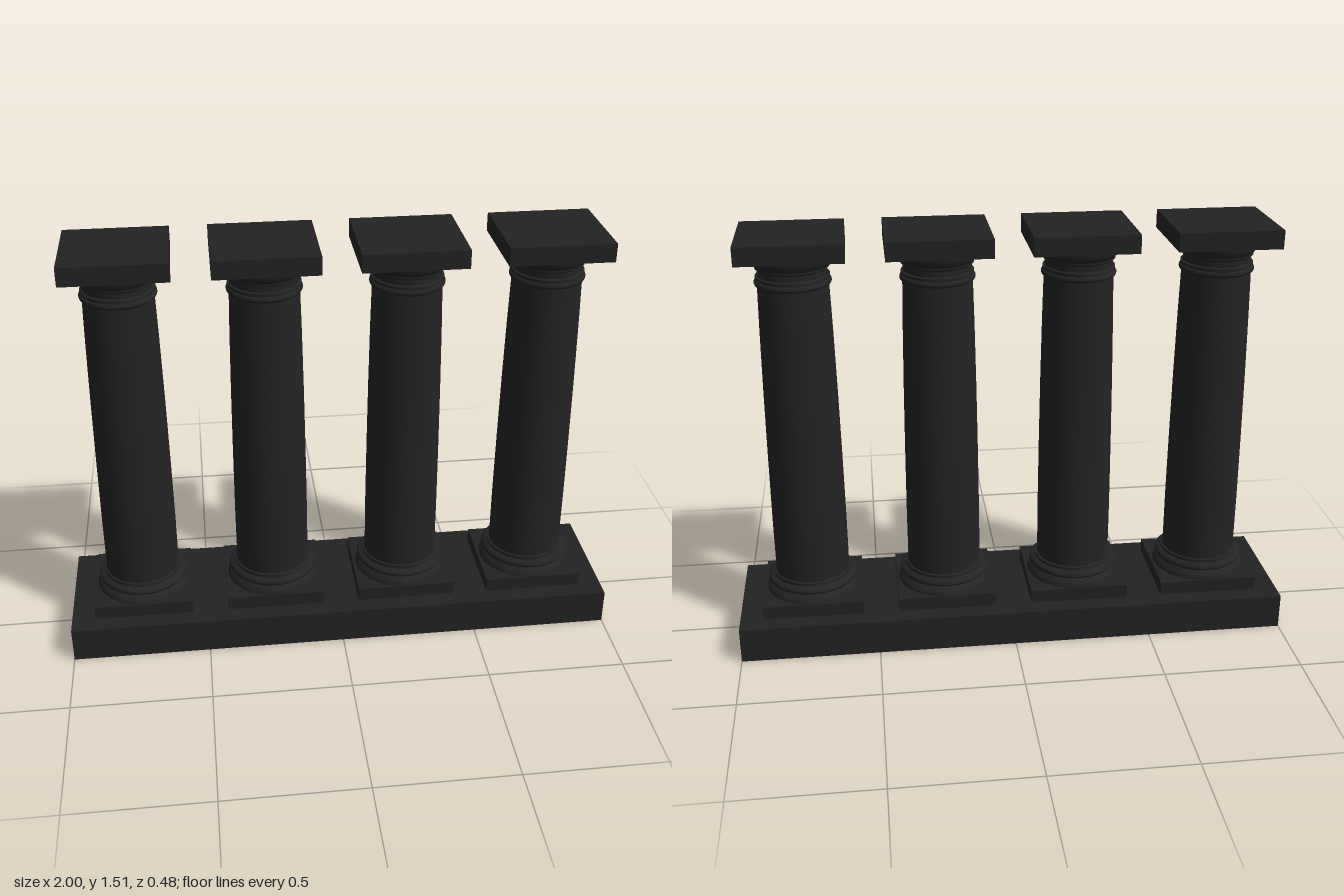
import * as THREE from 'three';
import { toCreasedNormals } from 'three/addons/utils/BufferGeometryUtils.js';

export function createModel() {
  const model = new THREE.Group();
  model.name = 'colonnade';
  const stone = new THREE.MeshStandardMaterial({ color: 0x232323 });
  stone.name = 'dark stone';

  const add = (parent, name, geometry, y = 0) => {
    const mesh = new THREE.Mesh(geometry, stone);
    mesh.name = name;
    mesh.position.y = y;
    parent.add(mesh);
  };
  // Turned part from [radius, height] pairs, bottom to top
  const turned = (profile) => toCreasedNormals(
    new THREE.LatheGeometry(profile.map(([r, y]) => new THREE.Vector2(r, y)), 48), 0.6);

  // Half-round moulding: bulges by depth between two heights
  const bead = (r, depth, y0, y1) => Array.from({ length: 9 }, (_, i) => {
    const a = (i / 8) * Math.PI;
    return [r + depth * Math.sin(a), (y0 + y1) / 2 - (y1 - y0) / 2 * Math.cos(a)];
  });

  const slab = new THREE.BoxGeometry(0.36, 0.05, 0.345);
  const abacus = new THREE.BoxGeometry(0.36, 0.065, 0.345);

  const footing = turned([
    [0.17, 0.175], [0.17, 0.183], [0.164, 0.195], [0.153, 0.202], [0.147, 0.208],
    ...bead(0.148, 0.015, 0.211, 0.236), [0.142, 0.239], [0.142, 0.249], [0.131, 0.252],
  ]);
  // Shaft tapers with a slight swelling
  const shaft = turned([
    [0.134, 0.245], [0.134, 0.45], [0.132, 0.7], [0.129, 0.95], [0.125, 1.18], [0.121, 1.345],
  ]);
  const capital = turned([
    [0.119, 1.338], ...bead(0.122, 0.009, 1.34, 1.361), [0.126, 1.363], [0.126, 1.373],
    [0.118, 1.376], [0.118, 1.396], [0.126, 1.402], [0.126, 1.409],
    [0.131, 1.416], [0.136, 1.427], [0.138, 1.437], [0.138, 1.452],
  ]);

  // Long base under all columns
  add(model, 'base', new THREE.BoxGeometry(2, 0.13, 0.476), 0.065);

  for (let i = 0; i < 4; i++) {
    const column = new THREE.Group();
    column.name = 'column' + (i + 1);
    column.position.x = -0.735 + i * 0.49;
    add(column, 'plinth', slab, 0.155);
    add(column, 'footing', footing);
    add(column, 'shaft', shaft);
    add(column, 'capital', capital);
    add(column, 'abacus', abacus, 1.4825);
    model.add(column);
  }
  return model;
}
